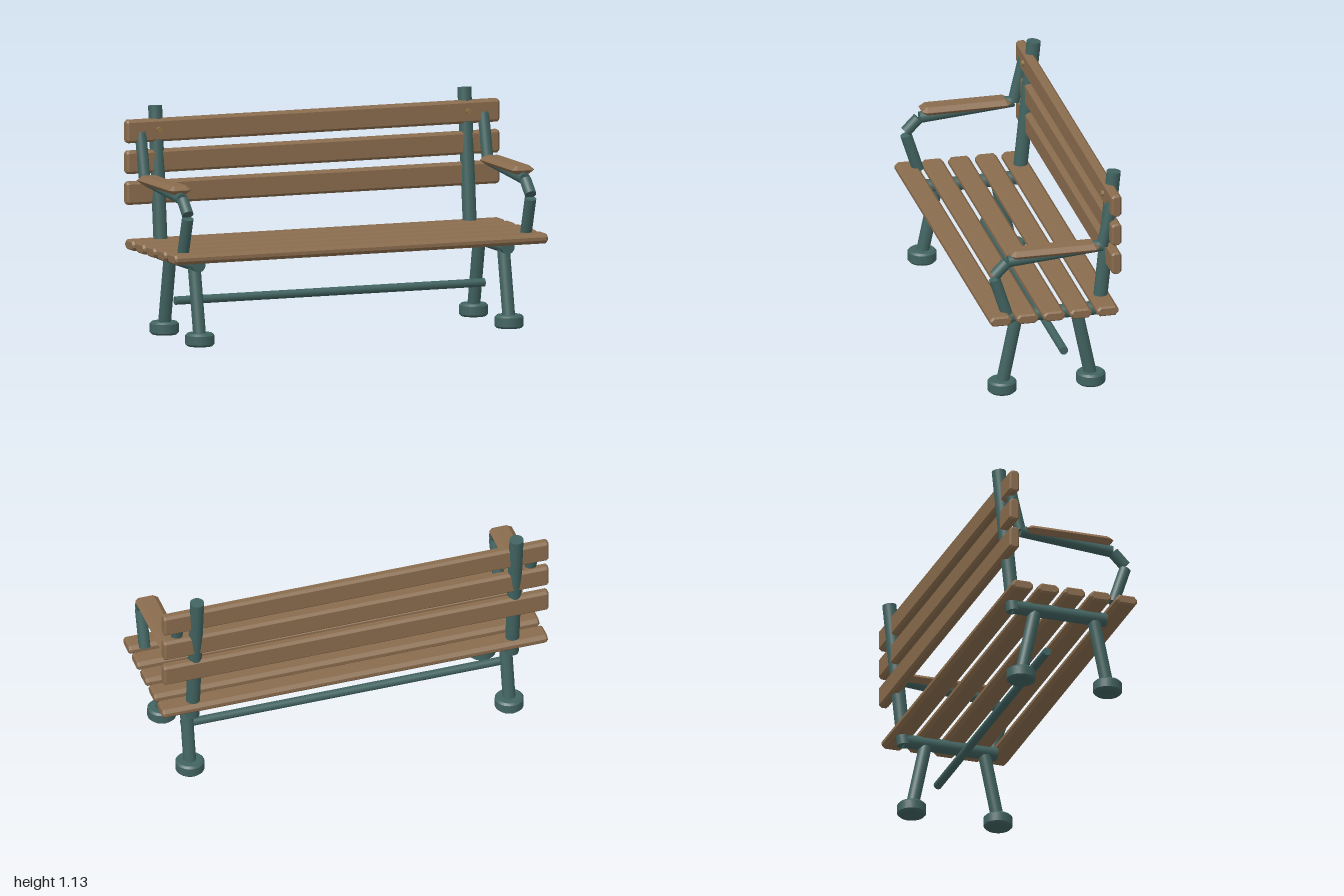
import * as THREE from 'three';

const iron = new THREE.MeshStandardMaterial({ color: 0x416360 });
const wood = new THREE.MeshStandardMaterial({ color: 0x8a6c4e });
const brass = new THREE.MeshStandardMaterial({ color: 0x8f7748 });

function add(parent, name, geometry, material, x = 0, y = 0, z = 0) {
  const mesh = new THREE.Mesh(geometry, material);
  mesh.name = name;
  mesh.position.set(x, y, z);
  parent.add(mesh);
  return mesh;
}

// Straight round bar between two points
function bar(parent, name, a, b, radius) {
  const from = new THREE.Vector3(...a), to = new THREE.Vector3(...b);
  const dir = to.clone().sub(from);
  const mesh = add(parent, name, new THREE.CylinderGeometry(radius, radius, dir.length(), 24), iron);
  mesh.position.copy(from).add(to).multiplyScalar(0.5);
  mesh.quaternion.setFromUnitVectors(new THREE.Vector3(0, 1, 0), dir.normalize());
}

// Plank centred on the origin: rectangle w x h with cut corners, depth d along z, bevelled ends
function plank(w, h, d, cut, bevelSize, bevelThickness) {
  const x = w / 2 - bevelSize, y = h / 2 - bevelSize;
  const shape = new THREE.Shape([
    [-x + cut, -y], [x - cut, -y], [x, -y + cut], [x, y - cut],
    [x - cut, y], [-x + cut, y], [-x, y - cut], [-x, -y + cut],
  ].map(p => new THREE.Vector2(...p)));
  const depth = d - 2 * bevelThickness;
  return new THREE.ExtrudeGeometry(shape, {
    depth, bevelEnabled: true, bevelSegments: 1, bevelSize, bevelThickness,
  }).translate(0, 0, -depth / 2);
}

// Round foot with softened rims
function footGeometry() {
  const profile = [[0, 0], [0.062, 0], [0.072, 0.01], [0.072, 0.054], [0.062, 0.064], [0, 0.064]];
  const creased = profile.flatMap(p => [new THREE.Vector2(...p), new THREE.Vector2(...p)]);
  return new THREE.LatheGeometry(creased, 28);
}

export function createModel() {
  const bench = new THREE.Group();
  bench.name = 'parkBench';

  // Seat slats
  const seat = new THREE.Group();
  seat.name = 'seat';
  bench.add(seat);
  const seatSlat = plank(0.11, 0.05, 2, 0.012, 0.008, 0.01).rotateY(Math.PI / 2);
  for (let i = 0; i < 5; i++) add(seat, 'seatSlat', seatSlat, wood, 0, 0.447, 0.297 - i * 0.136);

  // Backrest slats
  const back = new THREE.Group();
  back.name = 'backrest';
  bench.add(back);
  const backSlat = plank(0.051, 0.115, 2, 0.008, 0.008, 0.01).rotateY(Math.PI / 2);
  for (const y of [1.008, 0.854, 0.7]) add(back, 'backSlat', backSlat, wood, 0, y, -0.291);

  // Cross bar between the leg frames
  bar(bench, 'crossBar', [-0.83, 0.184, -0.064], [0.83, 0.184, -0.064], 0.021);

  const foot = footGeometry();
  const armBoard = plank(0.118, 0.452, 0.043, 0.006, 0.024, 0.0205).rotateX(Math.PI / 2);
  const armPath = [
    [[0.455, 0.25], [0.648, 0.312]],
    [[0.666, 0.313], [0.731, 0.25]],
    [[0.735, 0.243], [0.774, -0.235]],
    [[0.775, -0.236], [1.0, -0.289]],
  ];

  for (const side of [-1, 1]) {
    const frame = new THREE.Group();
    frame.name = side > 0 ? 'leftFrame' : 'rightFrame';
    bench.add(frame);
    const x = side * 0.83, armX = side * 0.92;

    // Back post, seat rail, legs and feet
    bar(frame, 'backPost', [x, 0.375, -0.24], [x, 1.127, -0.317], 0.035);
    bar(frame, 'seatRail', [x, 0.4, 0.242], [x, 0.4, -0.245], 0.035);
    bar(frame, 'frontLeg', [x, 0.04, 0.252], [x, 0.38, 0.182], 0.032);
    bar(frame, 'rearLeg', [x, 0.04, -0.2], [x, 0.38, -0.13], 0.032);
    add(frame, 'frontFoot', foot, iron, x, 0, 0.252);
    add(frame, 'rearFoot', foot, iron, x, 0, -0.2);

    // Bolt head on the top slat
    add(frame, 'bolt', new THREE.CylinderGeometry(0.014, 0.014, 0.02, 12).rotateX(Math.PI / 2),
      brass, x, 1.013, -0.262);

    // Bent arm support and its wooden board
    for (const [a, b] of armPath) bar(frame, 'armTube', [armX, ...a], [armX, ...b], 0.029);
    add(frame, 'armrest', armBoard, wood, armX, 0.777, 0.012);
  }
  return bench;
}
